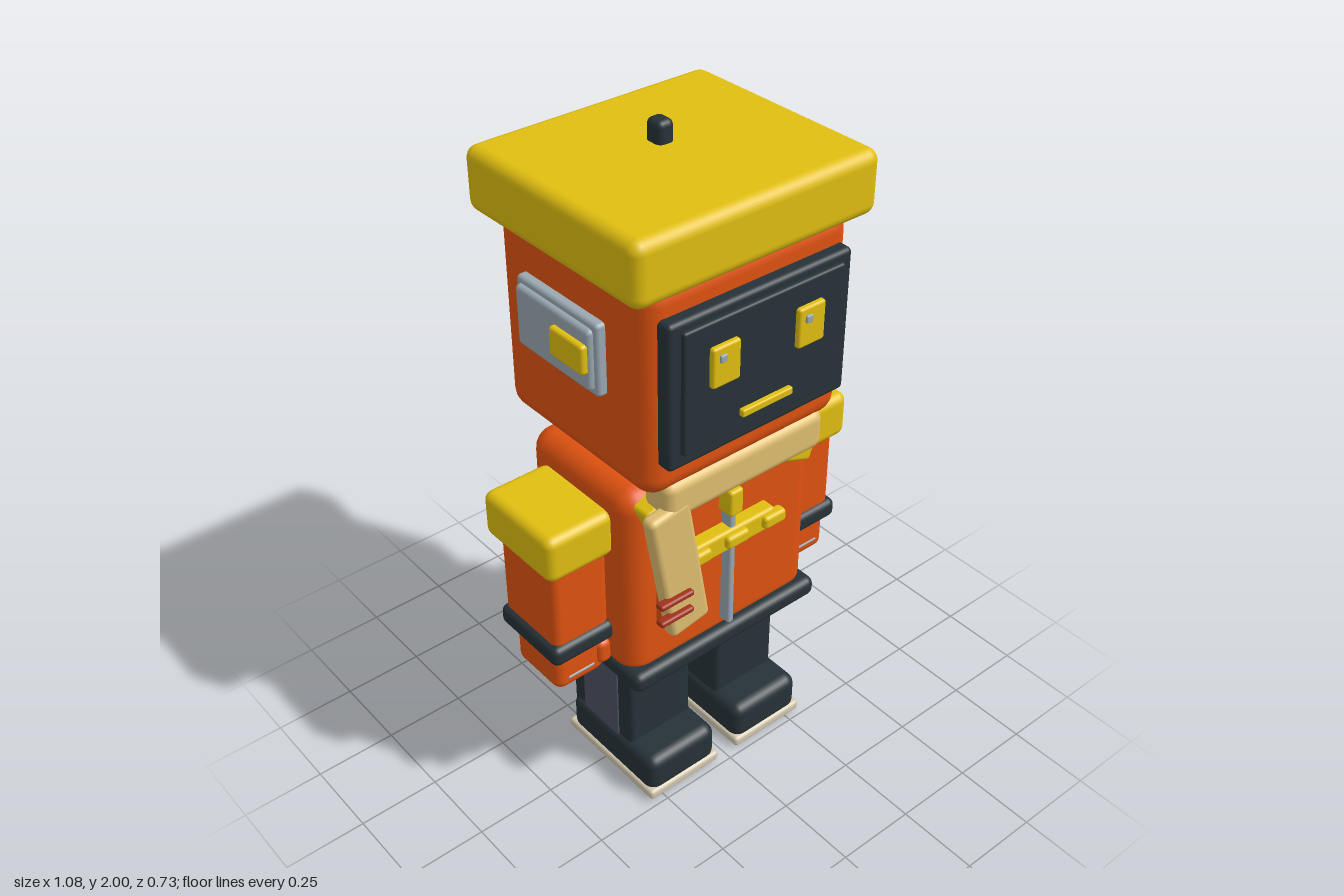
import * as THREE from 'three';
import { RoundedBoxGeometry } from 'three/addons/geometries/RoundedBoxGeometry.js';

const paint = (name, color) => {
  const m = new THREE.MeshStandardMaterial({ color });
  m.name = name;
  return m;
};

export function createModel() {
  const orange = paint('orange', 0xe05210);
  const yellow = paint('yellow', 0xe0be10);
  const dark = paint('charcoal', 0x263238);
  const silver = paint('silver', 0x9aa8b2);
  const tan = paint('tan', 0xe0be70);
  const cream = paint('cream', 0xd3c8b0);
  const slate = paint('slate', 0x4e5264);
  const red = paint('rust red', 0xa03018);

  const model = new THREE.Group();
  model.name = 'blockRobot';

  // Rounded block given by its extents on each axis
  const block = (parent, name, material, [x0, x1], [y0, y1], [z0, z1], radius = 0.02, tilt = 0) => {
    const w = x1 - x0, h = y1 - y0, d = z1 - z0;
    const r = Math.min(radius, Math.min(w, h, d) * 0.45);
    const mesh = new THREE.Mesh(new RoundedBoxGeometry(w, h, d, 3, r), material);
    mesh.position.set((x0 + x1) / 2, (y0 + y1) / 2, (z0 + z1) / 2);
    mesh.rotation.z = tilt;
    mesh.name = name;
    parent.add(mesh);
    return mesh;
  };
  const group = (name) => {
    const g = new THREE.Group();
    g.name = name;
    model.add(g);
    return g;
  };
  // Extent on the x axis, flipped for the right side
  const side = (s, a, b) => (s > 0 ? [a, b] : [-b, -a]);

  // Head with flat cap and knob
  const head = group('head');
  block(head, 'skull', orange, [-0.335, 0.335], [1.17, 1.79], [-0.328, 0.286], 0.06);
  block(head, 'cap', yellow, [-0.39, 0.39], [1.76, 1.94], [-0.368, 0.317], 0.035);
  block(head, 'capKnob', dark, [-0.026, 0.026], [1.92, 2.0], [-0.1, -0.04], 0.018);

  // Face screen
  block(head, 'screenFrame', dark, [-0.3, 0.3], [1.278, 1.702], [0.27, 0.324], 0.015);
  block(head, 'screen', dark, [-0.264, 0.264], [1.32, 1.676], [0.3, 0.338], 0.008);
  block(head, 'mouth', yellow, [-0.085, 0.085], [1.367, 1.389], [0.33, 0.353], 0.005);
  for (const s of [-1, 1]) {
    const x = s * 0.141;
    block(head, 'eye', yellow, [x - 0.045, x + 0.045], [1.493, 1.608], [0.33, 0.353], 0.008);
    block(head, 'eyeGlint', silver, [x - 0.026, x - 0.004], [1.565, 1.587], [0.345, 0.36], 0.004);
    // Ear plate with an inset tab
    block(head, 'earPlate', silver, side(s, 0.32, 0.362), [1.427, 1.637], [-0.206, 0.127], 0.012);
    block(head, 'earPad', silver, side(s, 0.34, 0.378), [1.443, 1.62], [-0.192, 0.113], 0.014);
    block(head, 'earTab', yellow, side(s, 0.36, 0.395), [1.495, 1.58], [-0.03, 0.106], 0.01);
  }

  // Torso and belt
  const torso = group('torso');
  block(torso, 'neck', orange, [-0.2, 0.2], [1.08, 1.22], [-0.15, 0.15], 0.02);
  block(torso, 'jacket', orange, [-0.335, 0.335], [0.48, 1.13], [-0.25, 0.2], 0.065);
  block(torso, 'belt', dark, [-0.342, 0.342], [0.466, 0.53], [-0.237, 0.233], 0.025);
  block(torso, 'pocket', orange, [-0.245, -0.112], [0.672, 0.81], [0.18, 0.226], 0.015);
  for (const s of [-1, 1]) {
    block(torso, 'collarFlap', yellow, [s * 0.17 - 0.13, s * 0.17 + 0.13], [1.045, 1.145], [0.16, 0.245], 0.015, -s * 0.36);
  }

  // Zip and toggle strap
  block(torso, 'zip', silver, [-0.011, 0.011], [0.55, 0.97], [0.19, 0.236], 0.008);
  block(torso, 'zipPull', yellow, [-0.024, 0.024], [0.953, 1.037], [0.19, 0.25], 0.01);
  block(torso, 'strap', yellow, [-0.155, 0.15], [0.835, 0.905], [0.19, 0.245], 0.012);
  for (const x of [-0.135, 0, 0.137]) {
    block(torso, 'toggle', yellow, [x - 0.04, x + 0.04], [0.853, 0.895], [0.225, 0.263], 0.012);
  }

  // Scarf with a hanging, tilted tail
  const scarf = group('scarf');
  block(scarf, 'scarfWrap', tan, [-0.25, 0.25], [1.09, 1.19], [-0.12, 0.24], 0.03);
  block(scarf, 'scarfFront', tan, [-0.275, 0.275], [1.077, 1.2], [0.18, 0.29], 0.03);
  block(scarf, 'scarfTail', tan, [-0.298, -0.162], [0.685, 1.125], [0.243, 0.292], 0.018, 0.17);
  for (const y of [0.77, 0.828]) {
    block(scarf, 'scarfStripe', red, [-0.315, -0.2], [y - 0.009, y + 0.009], [0.28, 0.31], 0.008);
  }

  for (const s of [-1, 1]) {
    // Arm
    const arm = group(s > 0 ? 'leftArm' : 'rightArm');
    block(arm, 'sleeve', orange, side(s, 0.33, 0.515), [0.59, 0.98], [-0.143, 0.1], 0.025);
    block(arm, 'shoulderPad', yellow, side(s, 0.32, 0.54), [0.91, 1.055], [-0.175, 0.126], 0.028);
    block(arm, 'cuff', dark, side(s, 0.32, 0.531), [0.6, 0.664], [-0.148, 0.116], 0.022);
    block(arm, 'hand', orange, side(s, 0.342, 0.511), [0.48, 0.63], [-0.108, 0.092], 0.03);
    block(arm, 'thumb', orange, side(s, 0.325, 0.375), [0.51, 0.592], [0, 0.105], 0.02);
    block(arm, 'knuckleLine', silver, side(s, 0.385, 0.475), [0.519, 0.527], [0.08, 0.096], 0.003);

    // Leg, boot and sole
    const leg = group(s > 0 ? 'leftLeg' : 'rightLeg');
    block(leg, 'trouser', dark, side(s, 0.052, 0.28), [0.1, 0.5], [-0.165, 0.12], 0.018);
    block(leg, 'sidePanel', slate, side(s, 0.26, 0.285), [0.12, 0.49], [-0.105, 0.06], 0.004);
    block(leg, 'boot', dark, side(s, 0.04, 0.294), [0.02, 0.152], [-0.163, 0.23], 0.035);
    block(leg, 'sole', cream, side(s, 0.035, 0.3), [0.008, 0.042], [-0.172, 0.236], 0.012);
    block(leg, 'tread', dark, side(s, 0.055, 0.28), [0, 0.03], [-0.152, 0.216], 0.004);
  }
  return model;
}
